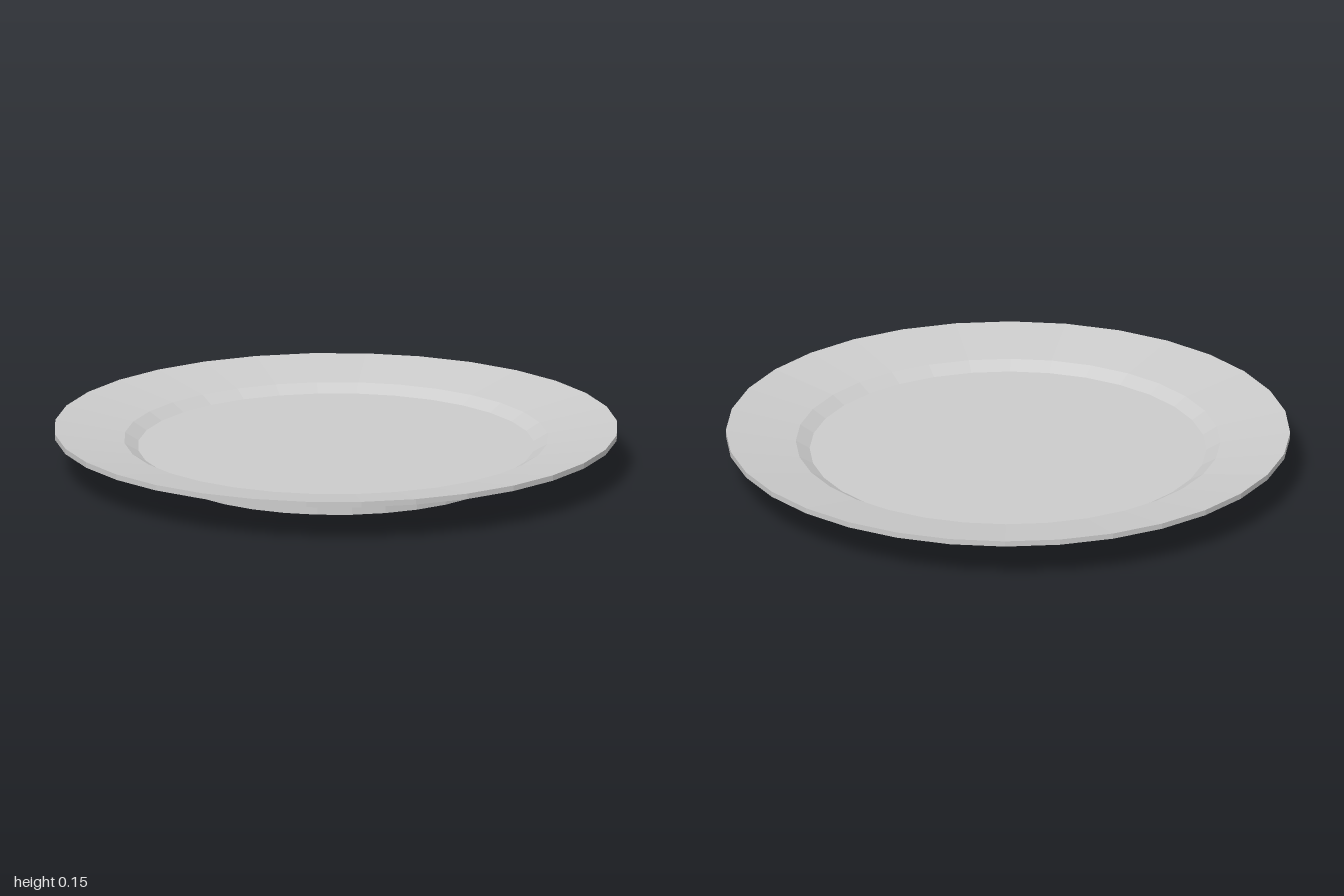
import * as THREE from 'three';

export function createModel() {
  const group = new THREE.Group();
  group.name = 'dinnerPlate';

  // Closed profile (radius, height), from the underside centre round to the top centre
  const profile = [
    [0, 0], [0.617, 0],         // foot underside
    [0.617, 0.042],             // foot wall
    [1, 0.132], [1, 0.152],     // sloping underside and lip
    [0.752, 0.113],             // rim
    [0.703, 0.085], [0, 0.085], // well wall and floor
  ].map(([r, y]) => new THREE.Vector2(r, y));

  const plate = new THREE.Mesh(
    new THREE.LatheGeometry(profile, 32),
    new THREE.MeshStandardMaterial({ color: 0xcccccc, flatShading: true })
  );
  plate.name = 'plate';
  group.add(plate);
  return group;
}
